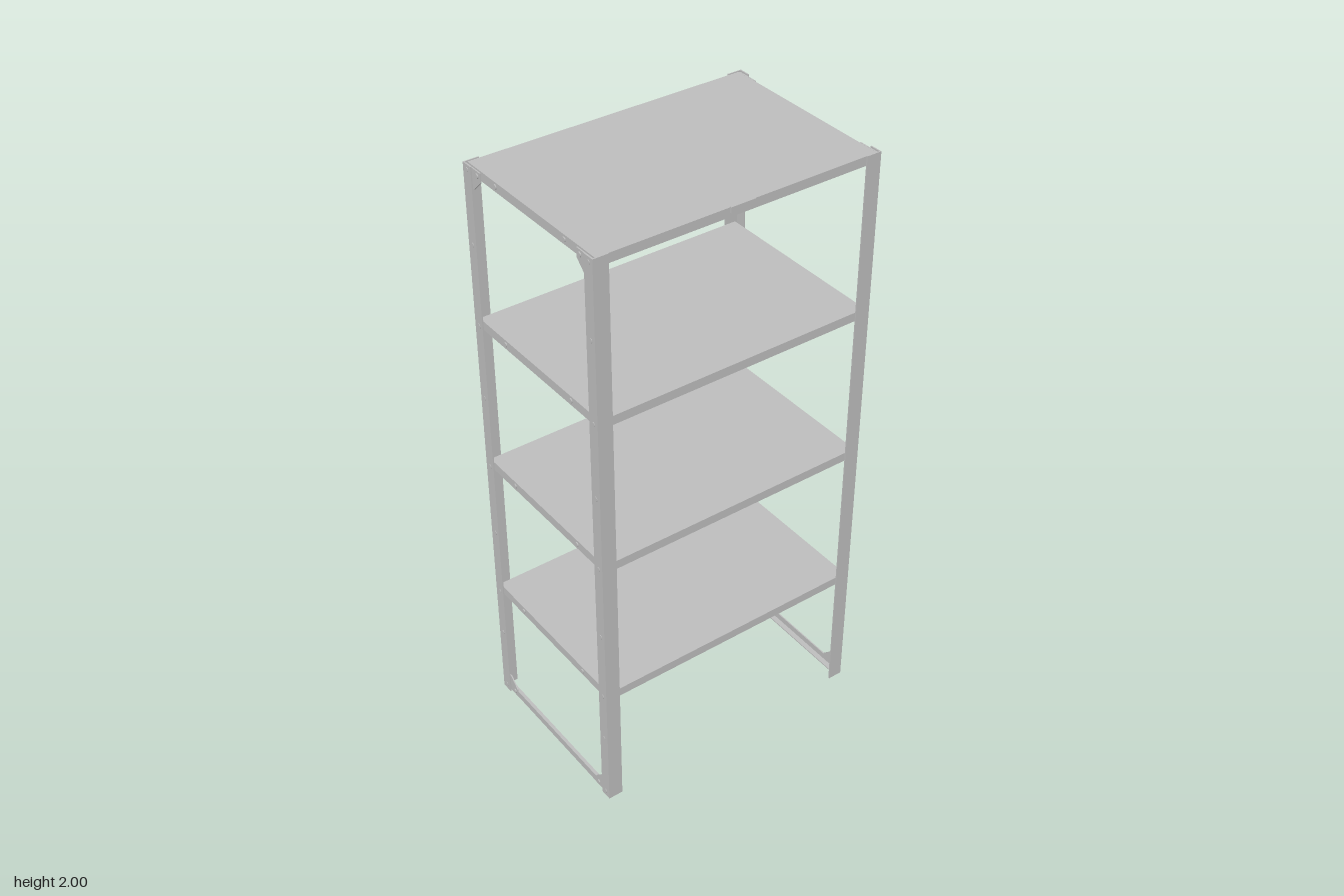
import * as THREE from 'three';

const W = 0.48, D = 0.315, H = 2, T = 0.004; // half width, half depth, height, sheet thickness
const SHELF_X = 0.468, SHELF_Z = 0.31, SHELF_H = 0.03;
const SHELF_TOPS = [0.456, 0.97, 1.487, 1.998];
const ENDS = [-1, 1];

export function createModel() {
  const root = new THREE.Group();
  root.name = 'shelvingUnit';
  const steel = new THREE.MeshStandardMaterial({ color: 0xbdbdbd });
  steel.name = 'grey steel';

  const add = (parent, name, geometry, x = 0, y = 0, z = 0) => {
    const mesh = new THREE.Mesh(geometry, steel);
    mesh.name = name;
    mesh.position.set(x, y, z);
    parent.add(mesh);
    return mesh;
  };
  const box = (parent, name, w, h, d, x, y, z) =>
    add(parent, name, new THREE.BoxGeometry(w, h, d), x, y, z);
  const plate = (points, depth) => new THREE.ExtrudeGeometry(
    new THREE.Shape(points.map(([a, b]) => new THREE.Vector2(a, b))),
    { depth, bevelEnabled: false });

  // Shelves: folded sheet trays, open underneath, with inward return lips
  const lip = 0.018;
  for (const top of SHELF_TOPS) {
    const shelf = new THREE.Group();
    shelf.name = 'shelf';
    shelf.position.y = top;
    root.add(shelf);
    box(shelf, 'shelfSheet', SHELF_X * 2, T, SHELF_Z * 2, 0, -T / 2, 0);
    for (const s of ENDS) {
      box(shelf, 'longSkirt', SHELF_X * 2, SHELF_H, T, 0, -SHELF_H / 2, s * (SHELF_Z - T / 2));
      box(shelf, 'longLip', SHELF_X * 2, T, lip, 0, T / 2 - SHELF_H, s * (SHELF_Z - lip / 2));
      box(shelf, 'endSkirt', T, SHELF_H, SHELF_Z * 2, s * (SHELF_X - T / 2), -SHELF_H / 2, 0);
      box(shelf, 'endLip', lip, T, (SHELF_Z - lip) * 2, s * (SHELF_X - lip / 2), T / 2 - SHELF_H, 0);
    }
  }

  // Corner uprights: L-shaped angle sections
  for (const sx of ENDS) for (const sz of ENDS) {
    const section = [[0, 0], [-0.05, 0], [-0.05, -T], [-T, -T], [-T, -0.04], [0, -0.04]];
    const angle = plate(section.map(([x, z]) => [sx * (W + x), -sz * (D + z)]), H);
    angle.rotateX(-Math.PI / 2);
    add(root, 'upright', angle);
  }

  // Floor braces joining the front and back uprights on each side
  for (const s of ENDS) {
    box(root, 'footBraceWeb', T, 0.026, 0.61, s * 0.473, 0.018, 0);
    box(root, 'footBraceFlange', 0.022, T, 0.61, s * 0.464, 0.007, 0);
  }

  // Chamfered gusset plates at the top and bottom corners
  const gusset = [[0.31, 0], [0.235, 0], [0.235, 0.03], [0.272, 0.066], [0.31, 0.066]];
  for (const sx of ENDS) for (const sz of ENDS) for (const top of [false, true]) {
    const g = plate(gusset.map(([z, y]) => [-sz * z, top ? H - 0.004 - y : y + 0.004]), T);
    g.rotateY(Math.PI / 2);
    add(root, 'gusset', g, sx * 0.473 - T / 2);
  }

  // Bolt heads on the side faces
  const boltGeometry = new THREE.CylinderGeometry(0.008, 0.008, 0.005, 8).rotateZ(Math.PI / 2);
  const bolt = (x, y, z) => add(root, 'bolt', boltGeometry, x, y, z);
  for (const sx of ENDS) for (const sz of ENDS) {
    for (const y of [0.02, 0.26, 0.69, 1.215, 1.745]) bolt(sx * (W - 0.001), y, sz * 0.295);
    for (const top of SHELF_TOPS) {
      bolt(sx * (W - 0.001), top - 0.014, sz * 0.295);
      bolt(sx * (SHELF_X + 0.001), top - 0.014, sz * 0.168);
    }
    for (const y of [0.02, H - 0.018]) bolt(sx * 0.476, y, sz * 0.25);
  }

  // Small blank tag at the middle of the top front edge
  box(root, 'frontTag', 0.082, 0.018, 0.005, 0, H - 0.009, SHELF_Z + 0.0025);

  return root;
}
